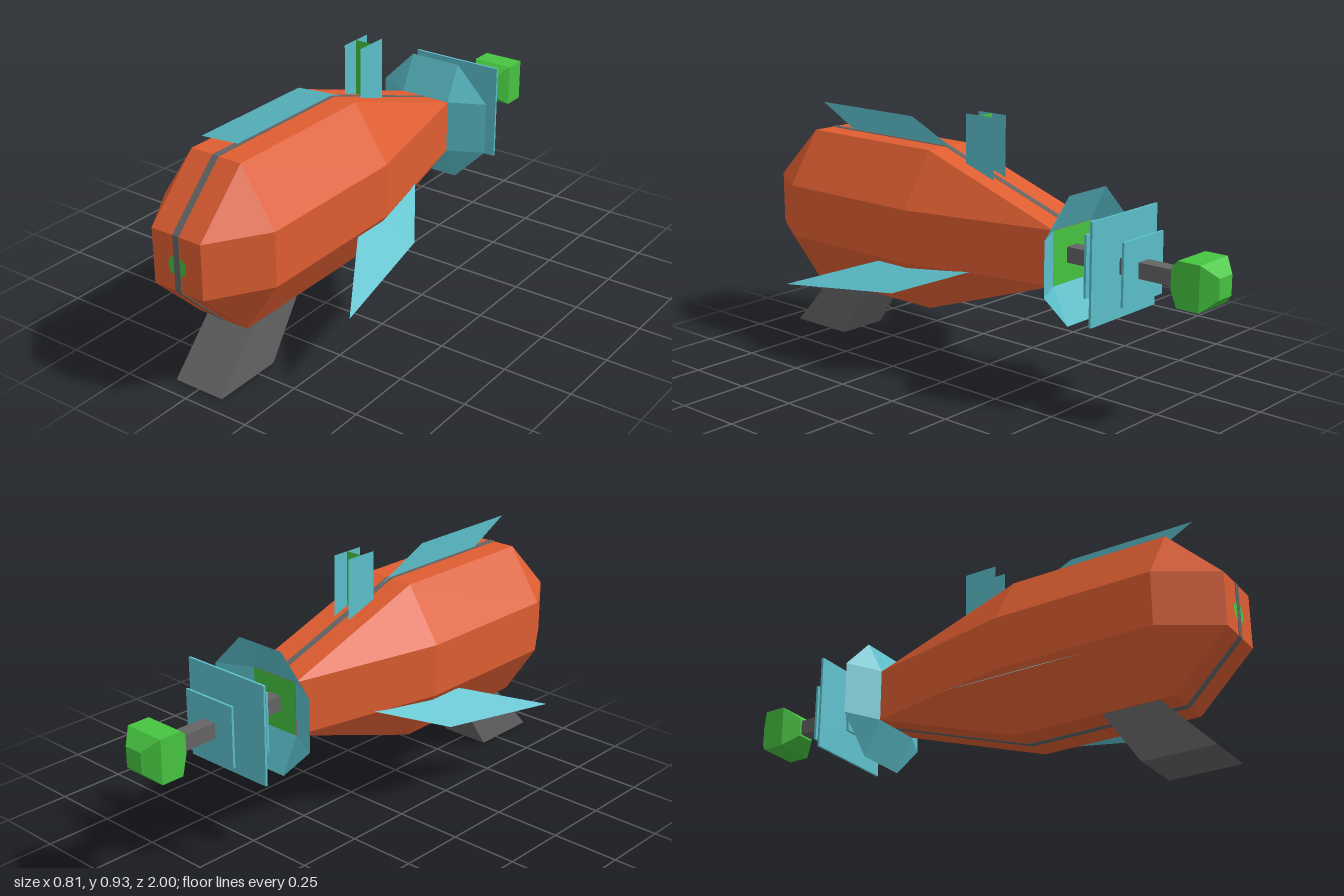
import * as THREE from 'three';

const AXIS = 0.495; // height of the barrel axis

const material = (name, color, flags = {}) => {
  const m = new THREE.MeshStandardMaterial({ color, ...flags });
  m.name = name;
  return m;
};

// Eight-point section: wide by w, tall by h, with flats of half-size cw and ch
function ring([z, w, h, cw, ch]) {
  return [[w, -ch], [w, ch], [cw, h], [-cw, h], [-w, ch], [-w, -ch], [-cw, -h], [cw, -h]]
    .map(([x, y]) => new THREE.Vector3(x, y + AXIS, z));
}

// Faceted skin through sections listed from back to front
function loft(sections, capped = true) {
  const pts = [];
  const tri = (a, b, c) => {
    const area = b.clone().sub(a).cross(c.clone().sub(a)).length();
    if (area > 1e-7) pts.push(a, b, c);
  };
  const rings = sections.map(ring);
  for (let s = 0; s < rings.length - 1; s++) {
    const back = rings[s], front = rings[s + 1];
    for (let i = 0; i < 8; i++) {
      const j = (i + 1) % 8;
      tri(back[i], back[j], front[j]);
      tri(back[i], front[j], front[i]);
    }
  }
  if (capped) {
    const back = rings[0], front = rings[rings.length - 1];
    for (let i = 1; i < 7; i++) {
      tri(front[0], front[i], front[i + 1]);
      tri(back[0], back[i + 1], back[i]);
    }
  }
  const g = new THREE.BufferGeometry().setFromPoints(pts);
  g.computeVertexNormals();
  return g;
}

// Side outlines are given as (z, y) pairs
const outline = (pairs) => new THREE.Shape(pairs.map(([z, y]) => new THREE.Vector2(z, y)));

function slab(pairs, width) {
  return new THREE.ExtrudeGeometry(outline(pairs), { depth: width, bevelEnabled: false })
    .translate(0, 0, -width / 2).rotateY(-Math.PI / 2);
}

const sheet = (pairs) => new THREE.ShapeGeometry(outline(pairs)).rotateY(-Math.PI / 2);

export function createModel() {
  const model = new THREE.Group();
  model.name = 'rayBlaster';
  const orange = material('orange', 0xdf5e31);
  const teal = material('teal', 0x5cc0cc, { side: THREE.DoubleSide });
  const green = material('green', 0x46c540, { side: THREE.DoubleSide });
  const grey = material('grey', 0x646464);

  const add = (name, geometry, mat, x = 0, y = 0, z = 0) => {
    const mesh = new THREE.Mesh(geometry, mat);
    mesh.name = name;
    mesh.position.set(x, y, z);
    model.add(mesh);
    return mesh;
  };

  // Tapered faceted body
  add('body', loft([
    [-0.38, 0.1, 0.098, 0.1, 0.098],
    [0.2, 0.23, 0.296, 0.1, 0.098],
    [0.8, 0.23, 0.296, 0.1, 0.098],
    [1, 0.1, 0.098, 0.1, 0.098],
  ]), orange);

  // Seam strip running around the body's centre line
  add('seamStrip', slab([
    [-0.379, 0.395], [0.2, 0.197], [0.8, 0.197], [1, 0.395],
    [1, 0.595], [0.8, 0.793], [0.2, 0.793], [-0.379, 0.595],
  ], 0.024).translate(0, 0, 0.002), grey);

  // Small round button on the rear face of the body
  add('endButton', new THREE.CircleGeometry(0.037, 12), green, 0, 0.487, 1.001);

  // Slanted grip
  add('grip', slab([[0.935, 0], [0.67, 0], [0.48, 0.28], [0.67, 0.28]].reverse(), 0.196), grey);

  // Flared open muzzle with a glowing back panel
  add('muzzleFlare', loft([
    [-0.445, 0.228, 0.228, 0.1, 0.098],
    [-0.38, 0.1, 0.098, 0.1, 0.098],
  ], false), teal);
  add('muzzlePanel', new THREE.PlaneGeometry(0.2, 0.196), green, 0, AXIS, -0.382);

  // Emitter rod, square plates and tip
  add('emitterRod', new THREE.BoxGeometry(0.056, 0.056, 0.45), grey, 0, AXIS, -0.605);
  for (const [z, size] of [[-0.523, 0.22], [-0.6, 0.36], [-0.677, 0.22]]) {
    add('emitterPlate', new THREE.BoxGeometry(size, size, 0.009), teal, 0, AXIS, z);
  }
  add('emitterTip', loft([
    [-1, 0.036, 0.036, 0.036, 0.036],
    [-0.953, 0.079, 0.079, 0.079, 0.079],
    [-0.868, 0.079, 0.079, 0.079, 0.079],
    [-0.815, 0.036, 0.036, 0.036, 0.036],
  ]), green);

  // Sight: two thin side plates joined by a cross plate
  for (const side of [-1, 1]) {
    add('sightPlate', sheet([[-0.05, 0.68], [0.08, 0.68], [0.08, 0.93], [-0.05, 0.93]]), teal, side * 0.033);
  }
  add('sightCrossPlate', new THREE.PlaneGeometry(0.066, 0.25), green, 0, 0.805, 0.015);

  // Top fin
  add('topFin', sheet([[0.68, 0.785], [0.86, 0.88], [0.38, 0.88], [0.1, 0.752], [0.3, 0.7]]), teal);

  // Side fins, swung down to either side of the axis
  for (const side of [-1, 1]) {
    const fin = add('sideFin', sheet([
      [-0.08, 0.185], [0.17, 0.378], [0.65, 0.465], [0.37, 0.265], [0.15, 0.12],
    ]), teal, 0, 0.502, 0);
    fin.rotation.z = -side * Math.PI * 2 / 3;
  }

  return model;
}
